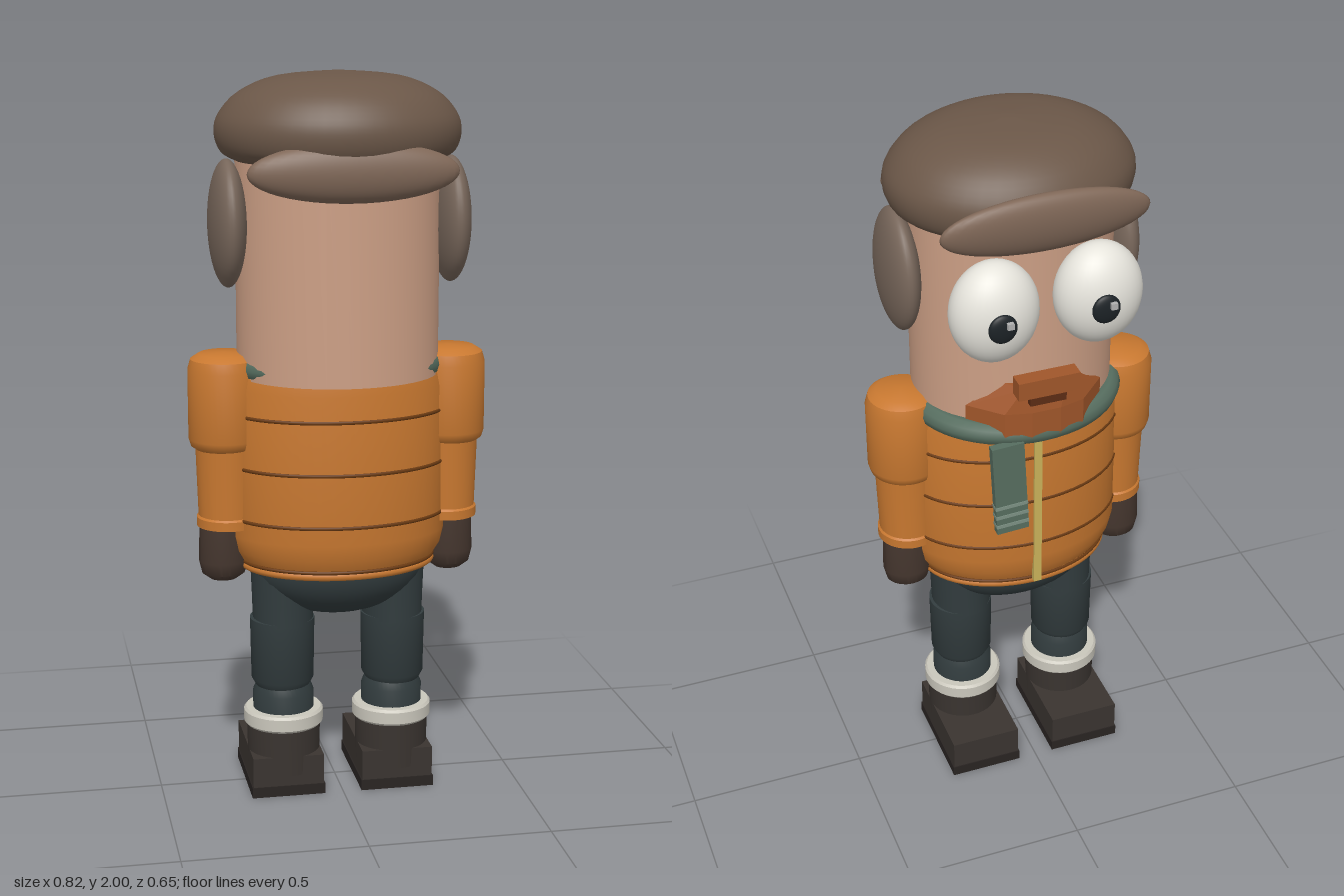
import * as THREE from 'three';
import { toCreasedNormals } from 'three/addons/utils/BufferGeometryUtils.js';
import { ConvexGeometry } from 'three/addons/geometries/ConvexGeometry.js';

const CZ = 0.045; // depth of the body axis; the face looks toward -z

const mat = (color) => new THREE.MeshStandardMaterial({ color, roughness: 0.85 });
const M = {
  skin: mat(0xcc9f85), felt: mat(0x6b5748), brim: mat(0x7f6757), ear: mat(0x77665a),
  jacket: mat(0xc87830), seam: mat(0x6a3a12), trousers: mat(0x323c3e), boot: mat(0x3a3430),
  sole: mat(0x292422), cuff: mat(0xcac7bc), glove: mat(0x46372f), scarf: mat(0x566d5f),
  fringe: mat(0x7d9184), beard: mat(0xa0562a), mouth: mat(0x5c2c14), zip: mat(0xc9b25a),
  eye: mat(0xe6e4dc), pupil: mat(0x1c2226), glint: mat(0xb0b0b0),
};

export function createModel() {
  const model = new THREE.Group();
  model.name = 'standingFigure';

  function add(name, geometry, material, x = 0, y = 0, z = 0, parent = model) {
    const mesh = new THREE.Mesh(geometry, material);
    mesh.name = name;
    mesh.position.set(x, y, z);
    parent.add(mesh);
    return mesh;
  }
  // Turned shape from [radius, height] points, stretched to an oval
  function turned(points, sx = 1, sz = 1, sides = 40) {
    const g = new THREE.LatheGeometry(points.map(([r, y]) => new THREE.Vector2(r, y)), sides);
    g.scale(sx, 1, sz);
    return toCreasedNormals(g, 0.7);
  }
  const ball = (rx, ry, rz) => new THREE.SphereGeometry(1, 36, 24).scale(rx, ry, rz);
  const box = (w, h, d) => new THREE.BoxGeometry(w, h, d);
  function ring(rx, rz, tube, tubeY = tube) {
    const g = new THREE.TorusGeometry(1, tube / rx, 10, 56).rotateX(Math.PI / 2);
    return g.scale(rx, tubeY / (tube / rx), rz);
  }

  // Head and flat cap
  add('head', turned([[0, 1.19], [1, 1.19], [1, 1.8], [0, 1.8]], 0.275, 0.235, 48), M.skin, 0, 0, CZ);
  const capCurve = new THREE.SplineCurve([
    [0.82, 1.765], [0.95, 1.79], [1, 1.84], [0.96, 1.89], [0.8, 1.945], [0.5, 1.985], [0, 2],
  ].map(([r, y]) => new THREE.Vector2(r, y)));
  const capProfile = [[0, 1.765], ...capCurve.getPoints(24).map((p) => [Math.max(p.x, 0), p.y])];
  add('cap', turned(capProfile, 0.33, 0.275, 48), M.felt, 0, 0, 0.05);
  add('frontBrim', ball(0.277, 0.085, 0.038), M.brim, 0, 1.828, -0.212).rotation.x = -0.15;
  add('backBrim', ball(0.277, 0.079, 0.048), M.brim, 0, 1.753, 0.275);

  // Chin beard, wrapped round the front of the head
  const beardPoints = [];
  for (const s of [-1, 1]) {
    for (const y of [1.2, 1.28]) {
      beardPoints.push(
        new THREE.Vector3(s * 0.19, y, -0.13),
        new THREE.Vector3(s * 0.11, y, -0.21),
        new THREE.Vector3(s * 0.04, y, -0.227));
    }
    beardPoints.push(
      new THREE.Vector3(s * 0.1, 1.355, -0.17),
      new THREE.Vector3(s * 0.06, 1.35, -0.215));
  }
  add('beard', new ConvexGeometry(beardPoints), M.beard);
  add('moustache', box(0.17, 0.052, 0.045), M.beard, 0, 1.365, -0.225);
  add('mouth', box(0.1, 0.022, 0.03), M.mouth, 0, 1.322, -0.225);

  // Puffer jacket with seams, hem and zip
  add('jacket', turned([
    [0, 0.65], [0.84, 0.65], [0.9, 0.675], [0.965, 0.705], [1, 0.75], [1, 1.16], [0.97, 1.2], [0, 1.2],
  ], 0.3, 0.203, 48), M.jacket, 0, 0, 0.038);
  for (const y of [0.8, 0.945, 1.09]) {
    add('jacketSeam', ring(0.3, 0.203, 0.004, 0.005), M.seam, 0, y, 0.038);
  }
  add('hem', ring(0.262, 0.185, 0.011), M.jacket, 0, 0.66, 0.038);
  add('hemSeam', ring(0.268, 0.19, 0.005), M.seam, 0, 0.672, 0.038);
  add('zip', box(0.022, 0.52, 0.016), M.zip, 0, 0.93, -0.164);

  // Scarf round the neck with one hanging end
  add('scarf', ring(0.262, 0.222, 0.033), M.scarf, 0, 1.212, 0.02).rotation.x = -0.04;
  const scarfEnd = new THREE.Group();
  scarfEnd.name = 'scarfEnd';
  scarfEnd.position.set(0.1, 1.05, -0.215);
  scarfEnd.rotation.z = -0.05;
  model.add(scarfEnd);
  add('scarfTail', box(0.09, 0.28, 0.024), M.scarf, 0, 0, 0, scarfEnd);
  for (const y of [-0.115, -0.085, -0.055]) {
    add('scarfStripe', box(0.092, 0.01, 0.028), M.fringe, 0, y, 0, scarfEnd);
  }

  // Hips
  add('hips', ball(0.245, 0.15, 0.165), M.trousers, 0, 0.66, CZ);

  for (const s of [1, -1]) {
    const side = s > 0 ? 'left' : 'right';

    // Ear flap
    add(side + 'EarFlap', ball(0.05, 0.17, 0.135), M.ear, s * 0.302, 1.605, 0.072);

    // Bulging eye, both pupils glancing the same way
    add(side + 'Eye', ball(0.118, 0.14, 0.091), M.eye, s * 0.14, 1.605, -0.215);
    const px = s * 0.1375 + 0.0115;
    add(side + 'Pupil', ball(0.038, 0.04, 0.014), M.pupil, px, 1.605, -0.306);
    add(side + 'EyeGlint', box(0.017, 0.017, 0.012), M.glint, px - 0.014, 1.62, -0.322);

    // Arm
    add(side + 'UpperSleeve', turned([
      [0, 0.99], [0.08, 0.99], [0.094, 1.0], [0.1, 1.02], [0.1, 1.21], [0.092, 1.238], [0.07, 1.252], [0, 1.255],
    ]), M.jacket, s * 0.31, 0, CZ);
    add(side + 'LowerSleeve', turned([
      [0, 0.775], [0.085, 0.775], [0.085, 0.8], [0.08, 0.805], [0.086, 1.0], [0, 1.0],
    ]), M.jacket, s * 0.306, 0, CZ);
    add(side + 'Hand', turned([
      [0, 0.615], [0.035, 0.618], [0.057, 0.635], [0.065, 0.67], [0.062, 0.8], [0, 0.8],
    ], 1.04, 0.92), M.glove, s * 0.318, 0, 0.033);

    // Leg
    add(side + 'Thigh', turned([
      [0, 0.49], [0.088, 0.49], [0.09, 0.56], [0.095, 0.68], [0, 0.68],
    ], 0.95, 1.04), M.trousers, s * 0.155, 0, CZ);
    add(side + 'Knee', turned([
      [0, 0.305], [0.076, 0.305], [0.087, 0.325], [0.09, 0.5], [0, 0.52],
    ]), M.trousers, s * 0.157, 0, CZ);
    add(side + 'Shin', turned([
      [0, 0.2], [0.085, 0.2], [0.085, 0.285], [0.075, 0.31], [0, 0.31],
    ]), M.trousers, s * 0.155, 0, CZ);

    // Boot
    add(side + 'BootCuff', turned([
      [0, 0.19], [0.105, 0.19], [0.111, 0.197], [0.111, 0.23], [0.105, 0.237], [0, 0.237],
    ]), M.cuff, s * 0.155, 0, CZ);
    add(side + 'BootShaft', turned([
      [0, 0.06], [0.1, 0.06], [0.103, 0.195], [0, 0.195],
    ]), M.boot, s * 0.155, 0, CZ);
    add(side + 'Foot', box(0.2, 0.085, 0.3), M.boot, s * 0.155, 0.0725, -0.013);
    add(side + 'Sole', box(0.206, 0.03, 0.306), M.sole, s * 0.155, 0.015, -0.013);
  }
  return model;
}
